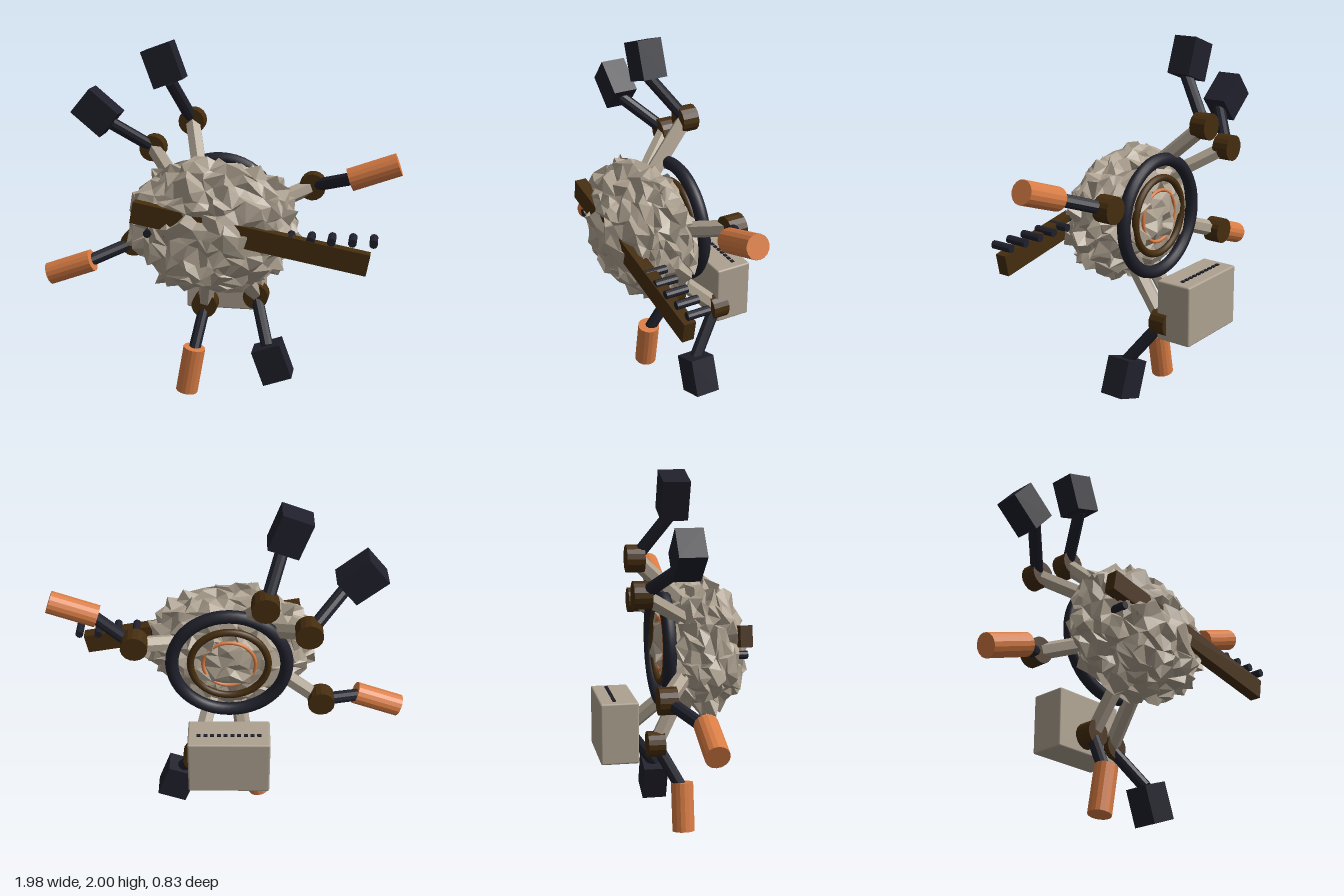
import * as THREE from 'three';
import { RoundedBoxGeometry } from 'three/addons/geometries/RoundedBoxGeometry.js';

const material = (name, color) => {
  const m = new THREE.MeshStandardMaterial({ color });
  m.name = name;
  return m;
};

export function createModel() {
  const stone = material('stone beige', 0xaea291);
  const dark = material('dark slate', 0x1f202b);
  const brown = material('dark brown', 0x452d0e);
  const copper = material('copper orange', 0xd87c44);

  const model = new THREE.Group();
  model.name = 'model';
  const CY = 1.03; // hub height

  const add = (parent, name, geometry, mat, x = 0, y = 0, z = 0) => {
    const mesh = new THREE.Mesh(geometry, mat);
    mesh.name = name;
    mesh.position.set(x, y, z);
    parent.add(mesh);
    return mesh;
  };
  const faceted = (geometry) => {
    const g = geometry.index ? geometry.toNonIndexed() : geometry;
    g.computeVertexNormals();
    return g;
  };
  // Straight rod between two points
  const rod = (parent, name, a, b, radius, sides, mat) => {
    const dir = b.clone().sub(a);
    const mid = a.clone().add(b).multiplyScalar(0.5);
    const geo = faceted(new THREE.CylinderGeometry(radius, radius, dir.length(), sides));
    const mesh = add(parent, name, geo, mat, mid.x, mid.y, mid.z);
    mesh.quaternion.setFromUnitVectors(new THREE.Vector3(0, 1, 0), dir.normalize());
    return mesh;
  };
  const V = (x, y, z) => new THREE.Vector3(x, y, z);

  // Jagged rock body: an ellipsoid with every corner shifted by a position hash
  const hash = (p, k) => {
    const s = Math.sin(Math.round(p.x * 500) * 12.9898 + Math.round(p.y * 500) * 78.233 +
      Math.round(p.z * 500) * 37.719 + k * 19.19) * 43758.5453;
    return s - Math.floor(s) - 0.5;
  };
  const rock = new THREE.IcosahedronGeometry(1, 7);
  const pos = rock.attributes.position;
  const p = new THREE.Vector3();
  for (let i = 0; i < pos.count; i++) {
    p.fromBufferAttribute(pos, i);
    const r = 1 + 0.13 * hash(p, 0);
    pos.setXYZ(i,
      p.x * r * 0.45 + 0.065 * hash(p, 1),
      p.y * r * 0.355 + 0.065 * hash(p, 2),
      p.z * r * 0.235 + 0.05 * hash(p, 3));
  }
  add(model, 'rockBody', faceted(rock), stone, -0.005, CY, 0.155);

  // Concentric rings at the back
  for (const [name, radius, tube, mat] of [
    ['outerRing', 0.315, 0.036, dark],
    ['middleRing', 0.213, 0.02, brown],
    ['innerRing', 0.144, 0.01, copper],
  ]) add(model, name, new THREE.TorusGeometry(radius, tube, 12, 48), mat, 0, 1.045, -0.057);

  // Radial arms; local x points outward
  const arm = (degrees, jointZ, isBox) => {
    const g = new THREE.Group();
    g.name = isBox ? 'blockArm' : 'canisterArm';
    g.position.y = CY;
    g.rotation.z = THREE.MathUtils.degToRad(degrees);
    model.add(g);

    const toolZ = isBox ? -0.042 : 0.045;
    rod(g, 'upperArm', V(0.28, 0, 0.04), V(0.54, 0, jointZ), 0.045, 6, stone);
    const joint = new THREE.CylinderGeometry(0.073, 0.073, 0.095, 16).rotateX(Math.PI / 2);
    add(g, 'joint', faceted(joint), brown, 0.54, 0, jointZ);
    rod(g, 'forearm', V(0.54, 0, jointZ), V(0.8, 0, toolZ), 0.035, 10, dark);
    if (isBox) {
      add(g, 'blockTool', new THREE.BoxGeometry(0.21, 0.17, 0.14), dark, 0.895, 0, toolZ);
    } else {
      const can = new THREE.CylinderGeometry(0.063, 0.063, 0.27, 16).rotateZ(Math.PI / 2);
      add(g, 'canisterTool', faceted(can), copper, 0.897, 0, toolZ);
    }
  };
  arm(20, -0.11, false);
  arm(110, -0.222, true);
  arm(140, -0.222, true);
  arm(200, -0.11, false);
  arm(260, -0.097, false);
  arm(290, -0.222, true);

  // Tilted plank through the front of the body
  const plank = add(model, 'plank', new THREE.BoxGeometry(1.26, 0.115, 0.065), brown, 0.214, 1.03, 0.33);
  plank.rotation.z = THREE.MathUtils.degToRad(-10.5);

  // Level row of pegs behind the plank
  for (let i = 0; i < 12; i++) {
    const x = -0.323 + i * 0.1073;
    rod(model, 'peg', V(x, 1.03, 0.235), V(x, 1.03, 0.357), 0.022, 10, dark);
  }

  // Rear case with a row of vents on its lid
  add(model, 'rearCase', new RoundedBoxGeometry(0.448, 0.338, 0.208, 2, 0.01), stone, 0, 0.6, -0.312);
  for (let i = 0; i < 10; i++) {
    add(model, 'vent', new THREE.BoxGeometry(0.022, 0.009, 0.018), dark,
      -0.164 + i * 0.0365, 0.771, -0.335);
  }
  return model;
}
